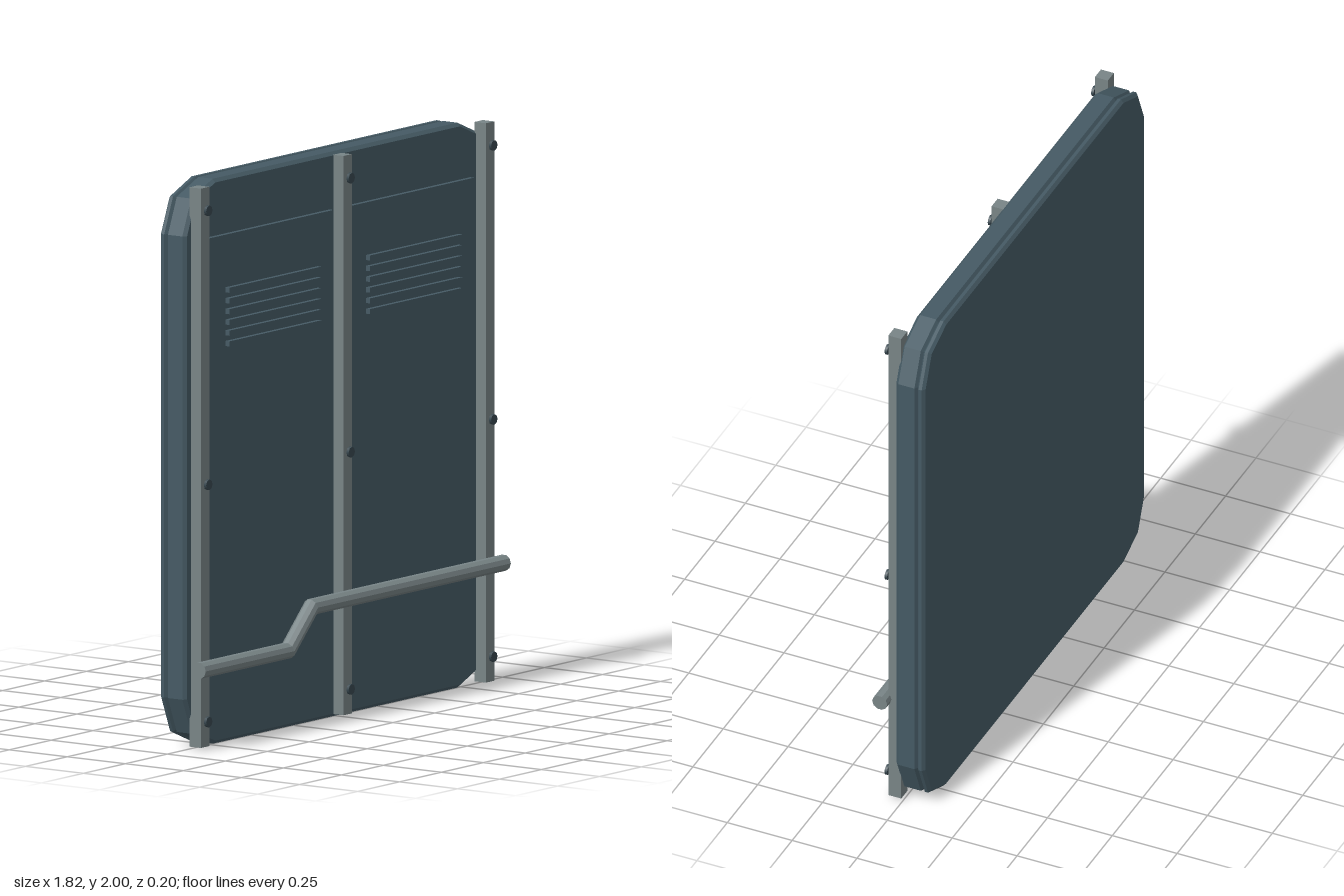
import * as THREE from 'three';

const slate = new THREE.MeshStandardMaterial({ color: 0x455a64 });
slate.name = 'slate panel';
const steel = new THREE.MeshStandardMaterial({ color: 0x788486 });
steel.name = 'grey steel';
const dark = new THREE.MeshStandardMaterial({ color: 0x37474f });
dark.name = 'dark bolt';

// Flat-shaded skin over equal-length loops of points, closed by end caps
function loft(loops) {
  const pos = [];
  const tri = (...pts) => pts.forEach((p) => pos.push(p.x, p.y, p.z));
  const n = loops[0].length;
  for (let k = 0; k < loops.length - 1; k++) {
    const a = loops[k], b = loops[k + 1];
    for (let i = 0; i < n; i++) {
      const j = (i + 1) % n;
      tri(a[i], a[j], b[j]);
      tri(a[i], b[j], b[i]);
    }
  }
  const first = loops[0], last = loops[loops.length - 1];
  for (let i = 1; i < n - 1; i++) {
    tri(first[0], first[i + 1], first[i]);
    tri(last[0], last[i], last[i + 1]);
  }
  const geo = new THREE.BufferGeometry();
  geo.setAttribute('position', new THREE.Float32BufferAttribute(pos, 3));
  geo.computeVertexNormals();
  return geo;
}

// Rectangle with two-facet rounded corners, shrunk by an inset
function doorLoop(z, inset) {
  const r = 0.18 - inset, pts = [];
  const centres = [[0.73, 1.82], [-0.73, 1.82], [-0.73, 0.18], [0.73, 0.18]];
  centres.forEach(([cx, cy], q) => {
    for (let s = 0; s <= 2; s++) {
      const t = (q + s / 2) * Math.PI / 2;
      pts.push(new THREE.Vector3(cx + r * Math.cos(t), cy + r * Math.sin(t), z));
    }
  });
  return pts;
}

// Mitred pipe through points lying in one z plane
function pipeGeometry(path, z, radius, sides) {
  const angle = (a, b) => Math.atan2(b[1] - a[1], b[0] - a[0]);
  return loft(path.map((p, i) => {
    const before = angle(path[Math.max(i - 1, 0)], path[Math.max(i, 1)]);
    const last = path.length - 1;
    const after = angle(path[Math.min(i, last - 1)], path[Math.min(i + 1, last)]);
    const mid = (before + after) / 2;
    const stretch = 1 / Math.cos((after - before) / 2);
    return Array.from({ length: sides }, (_, k) => {
      const t = (k + 0.5) / sides * Math.PI * 2;
      const u = radius * Math.cos(t) * stretch;
      return new THREE.Vector3(p[0] - Math.sin(mid) * u, p[1] + Math.cos(mid) * u, z + radius * Math.sin(t));
    });
  }));
}

export function createModel() {
  const model = new THREE.Group();
  model.name = 'door';

  const add = (name, geo, mat, x = 0, y = 0, z = 0) => {
    const mesh = new THREE.Mesh(geo, mat);
    mesh.name = name;
    mesh.position.set(x, y, z);
    model.add(mesh);
    return mesh;
  };

  // Door slab: bevelled rims with a groove near the back
  const profile = [[-0.1, 0.012], [-0.09, 0], [-0.078, 0], [-0.07, 0.012], [-0.062, 0], [0, 0], [0.012, 0.012]];
  add('doorSlab', loft(profile.map(([z, inset]) => doorLoop(z, inset))), slate);

  // Raised panels with louvre slats
  for (const side of [-1, 1]) {
    add('raisedPanel', new THREE.BoxGeometry(0.74, 1.64, 0.025), slate, side * 0.42, 0.98, 0.0175);
    for (let i = 0; i < 6; i++) {
      add('louvreSlat', new THREE.BoxGeometry(0.55, 0.018, 0.02), slate, side * 0.42, 1.415 + i * 0.038, 0.037);
    }
  }

  // Upright rails and their bolts
  for (const x of [-0.85, 0, 0.85]) {
    add('uprightRail', new THREE.BoxGeometry(0.05, 1.98, 0.05), steel, x, 1, 0.03);
    for (const y of [0.1, 0.94, 1.91]) {
      const bolt = add('bolt', new THREE.CylinderGeometry(0.019, 0.019, 0.01, 8), dark, x, y, 0.068);
      bolt.rotation.x = Math.PI / 2;
    }
  }

  // Cranked bar across the front
  const path = [[-0.91, 0.29], [-0.38, 0.29], [-0.24, 0.425], [0.91, 0.425]];
  add('crankedBar', pipeGeometry(path, 0.072, 0.029, 10), steel);

  return model;
}
